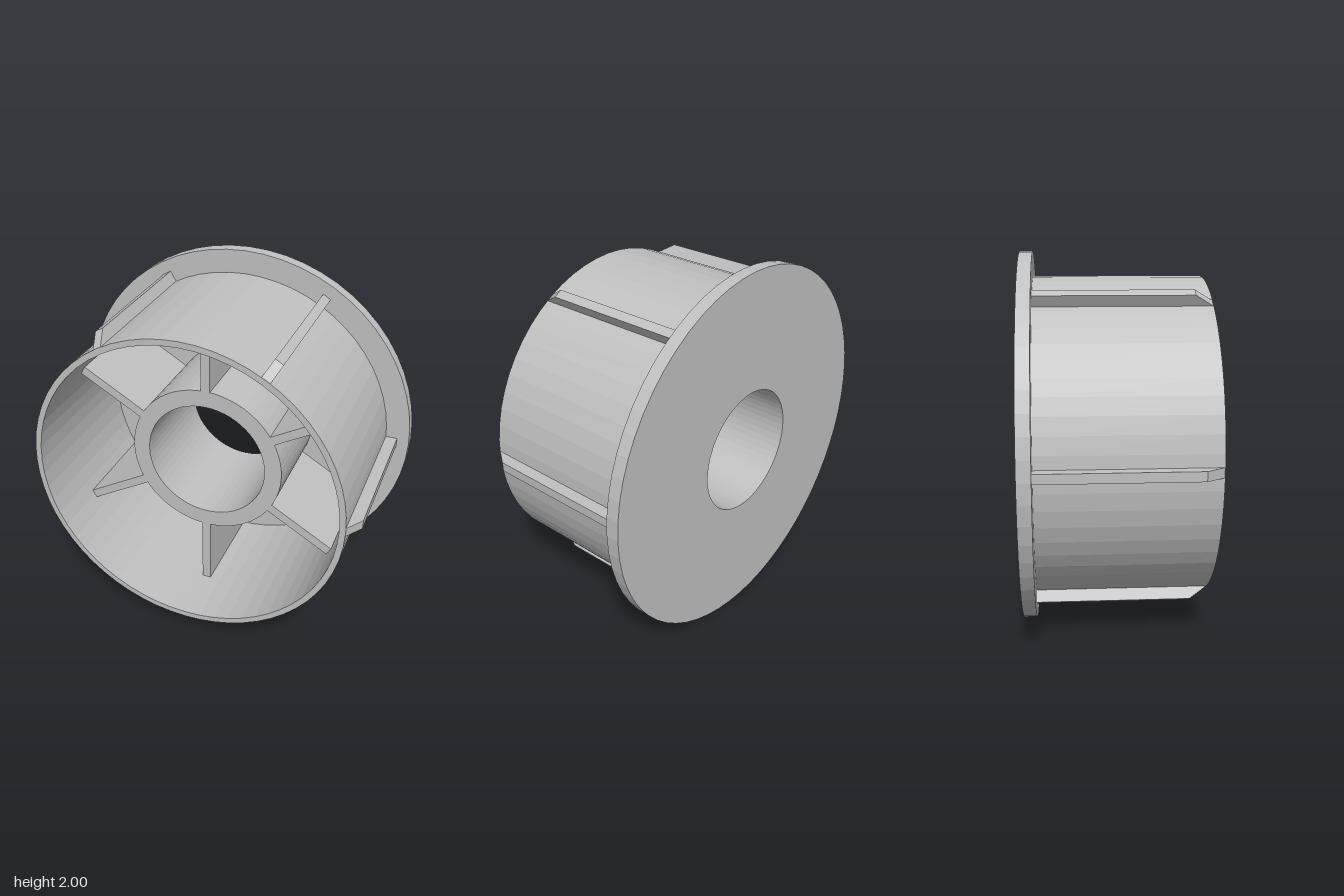
import * as THREE from 'three';

const SEGMENTS = 60;
const BACK = -0.485, FLOOR = -0.415, FRONT = 0.485, HUB_FRONT = 0.16;

export function createModel() {
  const model = new THREE.Group();
  model.name = 'flangedBushing';
  const grey = new THREE.MeshStandardMaterial({ color: 0xc0c0c0 });
  grey.name = 'grey plastic';
  grey.flatShading = true;

  const add = (name, geometry, angle = 0) => {
    const mesh = new THREE.Mesh(geometry, grey);
    mesh.name = name;
    mesh.rotation.z = angle;
    mesh.position.y = 1;
    model.add(mesh);
  };

  // Flange, outer sleeve and hub turned as one closed profile (radius, depth)
  const profile = [
    [0.34, BACK], [1, BACK], [1, FLOOR], [0.87, FLOOR], [0.87, FRONT],
    [0.837, FRONT], [0.837, FLOOR], [0.435, FLOOR], [0.435, HUB_FRONT],
    [0.34, HUB_FRONT], [0.34, BACK],
  ].map(([r, z]) => new THREE.Vector2(r, z));
  add('flangeSleeveAndHub', new THREE.LatheGeometry(profile, SEGMENTS).rotateX(Math.PI / 2));

  // Inner spokes joining hub and sleeve, flush with the hub front
  const spokeDepth = HUB_FRONT - FLOOR;
  const spoke = new THREE.BoxGeometry(0.425, 0.05, spokeDepth)
    .translate(0.6375, 0, FLOOR + spokeDepth / 2);

  // Outer key ribs with a chamfered lead-in
  const keyShape = new THREE.Shape([
    [0.85, FLOOR], [0.933, FLOOR], [0.933, 0.39], [0.868, FRONT], [0.85, FRONT],
  ].map(([r, z]) => new THREE.Vector2(r, z)));
  const key = new THREE.ExtrudeGeometry(keyShape, { depth: 0.05, bevelEnabled: false })
    .translate(0, 0, -0.025)
    .rotateX(Math.PI / 2);

  for (let i = 0; i < 6; i++) {
    const angle = (i * Math.PI) / 3;
    add('keyRib', key, angle);
    add('innerSpoke', spoke, angle + Math.PI / 6);
  }
  return model;
}
